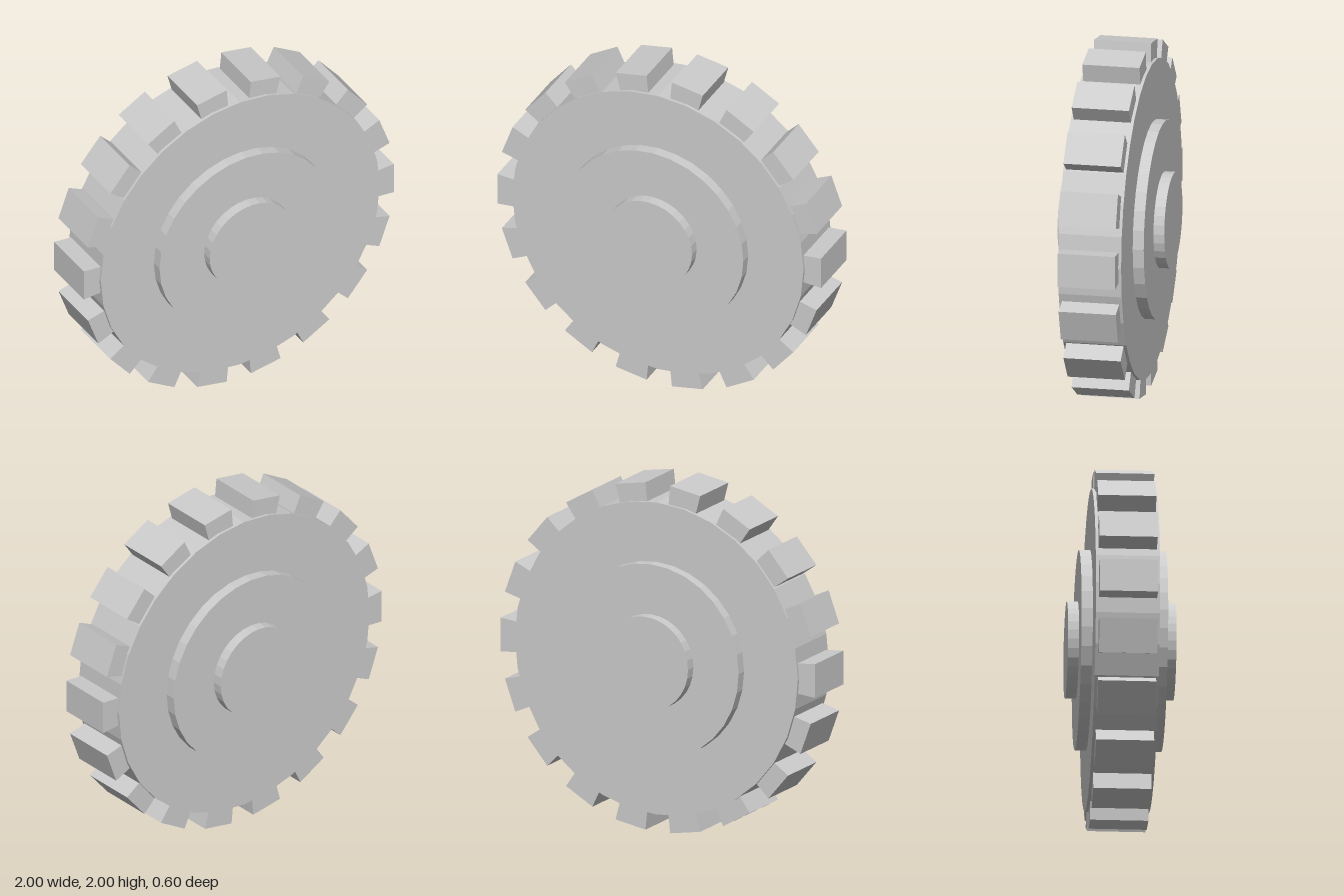
import * as THREE from 'three';

export function createModel() {
  const group = new THREE.Group();
  const material = new THREE.MeshStandardMaterial({ color: 0xcccccc, flatShading: true });

  const add = (name, geometry, parent) => {
    const mesh = new THREE.Mesh(geometry, material);
    mesh.name = name;
    parent.add(mesh);
    return mesh;
  };

  const wheel = new THREE.Group();
  wheel.name = 'sprocketWheel';
  wheel.position.y = 1;
  group.add(wheel);

  // Stepped discs, all centred on the z axle
  const discs = [
    ['wheelDisc', 0.9, 0.357],
    ['hubRing', 0.558, 0.482],
    ['axleBoss', 0.27, 0.604],
  ];
  for (const [name, radius, depth] of discs) {
    add(name, new THREE.CylinderGeometry(radius, radius, depth, 32).rotateX(Math.PI / 2), wheel);
  }

  // Teeth, slightly wider at the tip than at the root
  const teeth = new THREE.Group();
  teeth.name = 'teeth';
  wheel.add(teeth);

  const root = 0.88, tip = 1.0, depth = 0.324;
  const profile = new THREE.Shape([
    new THREE.Vector2(root, -0.087),
    new THREE.Vector2(tip, -0.097),
    new THREE.Vector2(tip, 0.097),
    new THREE.Vector2(root, 0.087),
  ]);
  const toothGeometry = new THREE.ExtrudeGeometry(profile, { depth, bevelEnabled: false });
  toothGeometry.translate(0, 0, -depth / 2);

  const count = 18;
  for (let i = 0; i < count; i++) {
    add('tooth', toothGeometry, teeth).rotation.z = (i / count) * Math.PI * 2;
  }

  return group;
}
